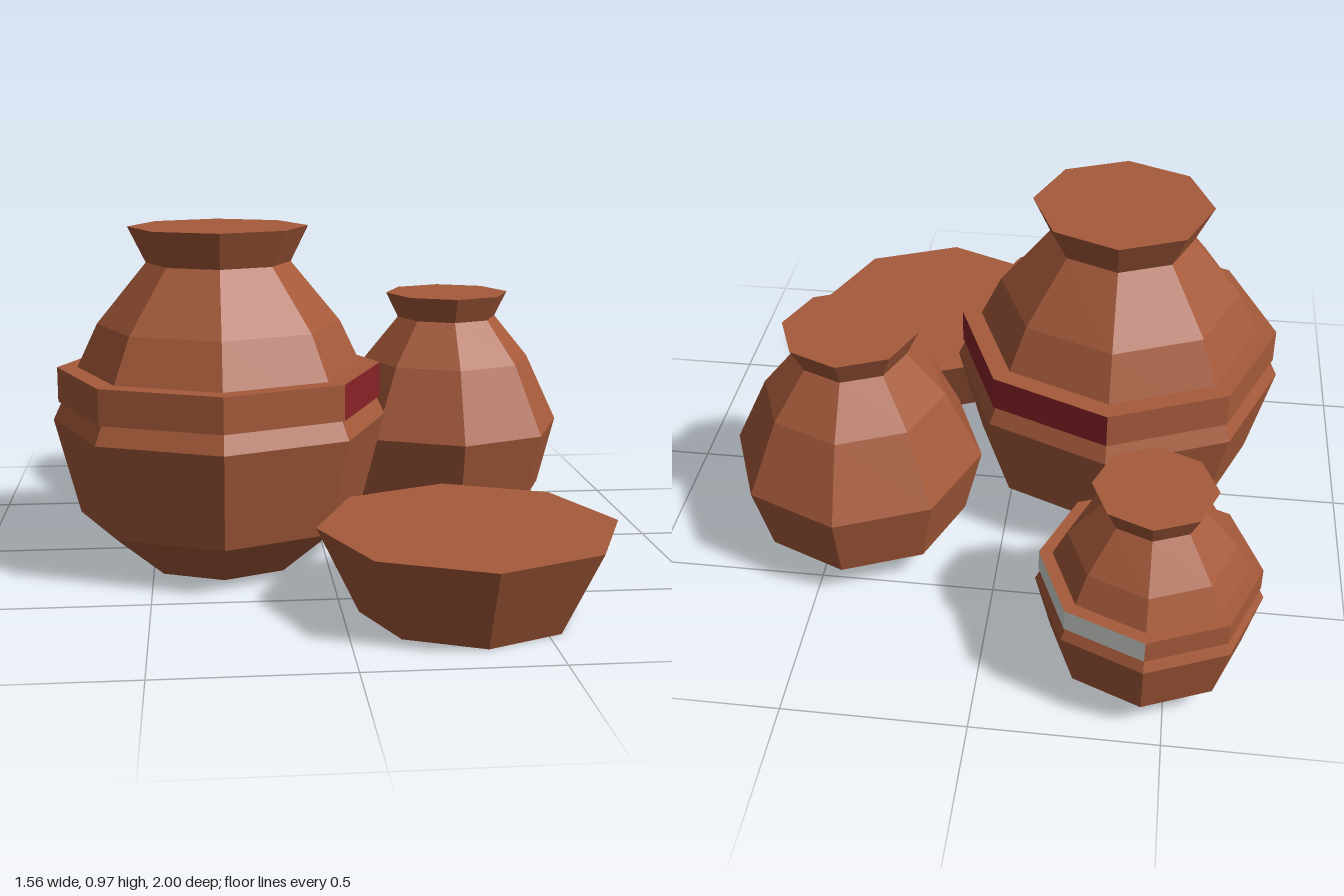
import * as THREE from 'three';

const SIDES = 8;

const clay = new THREE.MeshStandardMaterial({ color: 0xa65a3a });
clay.name = 'terracotta';
const red = new THREE.MeshStandardMaterial({ color: 0x8a2328 });
red.name = 'dark red';
const white = new THREE.MeshStandardMaterial({ color: 0xd8dcd8 });
white.name = 'off white';

// Faceted copy of a geometry
function facet(geometry) {
  const flat = geometry.toNonIndexed();
  flat.computeVertexNormals();
  return flat;
}

// Closed eight-sided vessel from [radius, height] pairs, bottom to top
function vessel(name, profile) {
  const points = profile.map(([r, y]) => new THREE.Vector2(r, y));
  const mesh = new THREE.Mesh(facet(new THREE.LatheGeometry(points, SIDES)), clay);
  mesh.name = name;
  return mesh;
}

// Collar round the jar with three adjoining painted faces
function band(paint) {
  const geometry = facet(new THREE.CylinderGeometry(0.465, 0.465, 0.1, SIDES));
  geometry.clearGroups();
  geometry.addGroup(0, 6, 0);
  geometry.addGroup(6, 18, 1);
  geometry.addGroup(24, 72, 0);
  const mesh = new THREE.Mesh(geometry, [clay, paint]);
  mesh.name = 'band';
  mesh.position.y = 0.52;
  return mesh;
}

const JAR = [
  [0, 0], [0.24, 0], [0.41, 0.14], [0.48, 0.417], [0.348, 0.695],
  [0.206, 0.868], [0.256, 0.97], [0, 0.97],
];
const BOWL = [[0, 0], [0.287, 0], [0.4, 0.232], [0, 0.232]];

function jar(name, x, z, scale, paint) {
  const group = new THREE.Group();
  group.name = name;
  group.add(vessel('jarBody', JAR));
  if (paint) group.add(band(paint));
  group.position.set(x, 0, z);
  group.scale.setScalar(scale);
  return group;
}

export function createModel() {
  const model = new THREE.Group();
  model.name = 'pottery';

  // Three jars of one shape at different sizes
  model.add(jar('largeJar', -0.302, 0.08, 1, red));
  model.add(jar('mediumJar', 0.42, -0.27, 0.75));
  model.add(jar('smallJar', -0.442, -0.7, 0.625, white));

  // Shallow bowl in front
  const bowl = vessel('bowl', BOWL);
  bowl.position.set(0.332, 0, 0.6);
  model.add(bowl);

  return model;
}
